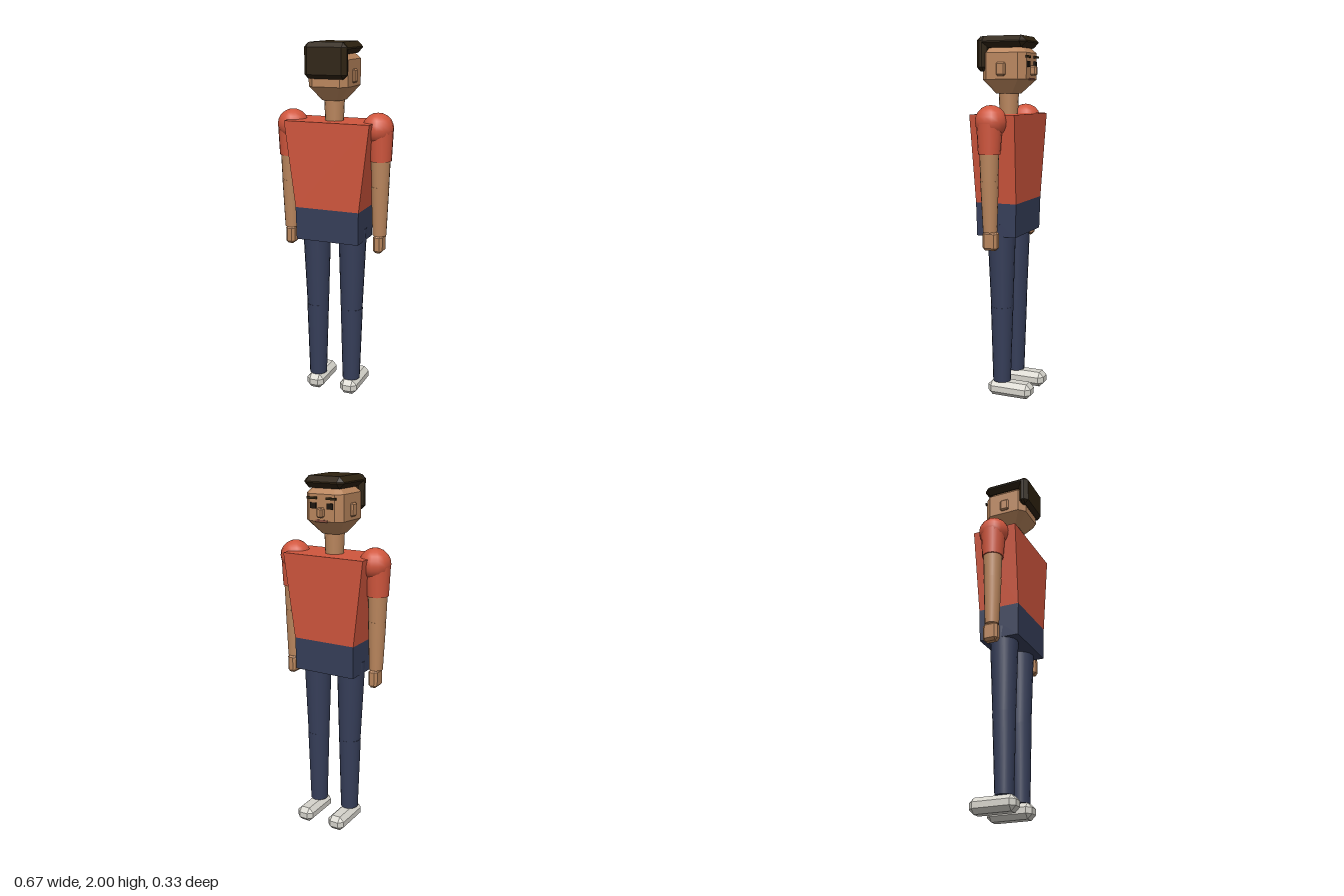
import * as THREE from 'three';
import { ConvexGeometry } from 'three/addons/geometries/ConvexGeometry.js';

const material = (name, color) => {
  const m = new THREE.MeshStandardMaterial({ color });
  m.name = name;
  return m;
};

// Box from min to max corner with every edge cut by c
function chamferBox(min, max, c) {
  const mid = min.map((v, i) => (v + max[i]) / 2);
  const half = min.map((v, i) => (max[i] - v) / 2);
  const points = [];
  for (let axis = 0; axis < 3; axis++)
    for (const sx of [-1, 1]) for (const sy of [-1, 1]) for (const sz of [-1, 1]) {
      const s = [sx, sy, sz];
      const p = s.map((v, i) => mid[i] + v * (half[i] - (i === axis ? 0 : c)));
      points.push(new THREE.Vector3(...p));
    }
  return new ConvexGeometry(points);
}

// Convex solid from horizontal sections [y, halfWidth, zFront, zBack, cornerCut]
function stacked(sections) {
  const points = [];
  for (const [y, hx, z0, z1, c] of sections)
    for (const s of [-1, 1]) {
      points.push(new THREE.Vector3(s * hx, y, z0 + c), new THREE.Vector3(s * hx, y, z1 - c));
      if (c > 0) points.push(new THREE.Vector3(s * (hx - c), y, z0), new THREE.Vector3(s * (hx - c), y, z1));
    }
  return new ConvexGeometry(points);
}

// Tapered limb segment between two points
function limb(from, to, r0, r1) {
  const a = new THREE.Vector3(...from), b = new THREE.Vector3(...to);
  const dir = b.clone().sub(a);
  const g = new THREE.CylinderGeometry(r1, r0, dir.length(), 16);
  g.applyQuaternion(new THREE.Quaternion().setFromUnitVectors(new THREE.Vector3(0, 1, 0), dir.normalize()));
  const m = a.add(b).multiplyScalar(0.5);
  return g.translate(m.x, m.y, m.z);
}

export function createModel() {
  const model = new THREE.Group();
  model.name = 'standingMan';
  const shirt = material('shirtRed', 0xd0563d);
  const denim = material('denimBlue', 0x363e59);
  const skin = material('skin', 0xba865d);
  const hair = material('hairBrown', 0x2e2210);
  const shoe = material('shoeWhite', 0xd6d4cc);
  const dark = material('eyeDark', 0x1c150e);
  const lip = material('lip', 0x8a5040);

  const add = (name, geometry, mat) => {
    const mesh = new THREE.Mesh(geometry, mat);
    mesh.name = name;
    model.add(mesh);
  };

  // Body
  add('torso', stacked([[1.11, 0.185, -0.1, 0.135, 0], [1.585, 0.244, -0.114, 0.143, 0]]), shirt);
  add('hips', stacked([[0.927, 0.182, -0.095, 0.131, 0], [1.11, 0.185, -0.1, 0.135, 0]]), denim);
  add('neck', limb([0, 1.57, 0.019], [0, 1.74, 0.019], 0.05, 0.057), skin);

  // Head, facing -z
  add('head', stacked([
    [1.695, 0.055, -0.04, 0.078, 0.018],
    [1.77, 0.112, -0.114, 0.14, 0.035],
    [1.91, 0.112, -0.114, 0.14, 0.035],
    [1.945, 0.077, -0.08, 0.105, 0.02],
  ]), skin);
  add('nose', chamferBox([-0.017, 1.79, -0.145], [0.017, 1.842, -0.1], 0.008), skin);
  add('mouth', new THREE.BoxGeometry(0.07, 0.012, 0.009).translate(0, 1.772, -0.114), lip);
  add('hairTop', chamferBox([-0.119, 1.937, -0.118], [0.119, 2, 0.163], 0.028), hair);
  add('hairBack', chamferBox([-0.119, 1.812, 0.105], [0.119, 1.997, 0.165], 0.022), hair);

  for (const [side, s] of [['left', 1], ['right', -1]]) {
    const part = (name, geometry, mat) => add(side + name, geometry, mat);
    const box = (x0, x1, y0, y1, z0, z1, c) =>
      chamferBox([Math.min(s * x0, s * x1), y0, z0], [Math.max(s * x0, s * x1), y1, z1], c);

    // Face
    part('Ear', box(0.1, 0.124, 1.788, 1.86, -0.009, 0.045, 0.008), skin);
    part('Eye', new THREE.BoxGeometry(0.036, 0.03, 0.009).translate(s * 0.05, 1.85, -0.116), dark);
    part('Brow', new THREE.BoxGeometry(0.06, 0.012, 0.009).translate(s * 0.057, 1.889, -0.118), hair);

    // Arm
    part('Shoulder', new THREE.SphereGeometry(0.086, 14, 10).translate(s * 0.248, 1.55, 0.016), shirt);
    part('Sleeve', limb([s * 0.267, 1.38, 0.018], [s * 0.264, 1.54, 0.018], 0.059, 0.069), shirt);
    part('UpperArm', limb([s * 0.267, 1.23, 0.018], [s * 0.267, 1.42, 0.018], 0.047, 0.054), skin);
    part('Forearm', limb([s * 0.265, 0.967, 0.016], [s * 0.266, 1.24, 0.018], 0.038, 0.049), skin);
    part('Hand', box(0.237, 0.291, 0.868, 0.972, -0.03, 0.055, 0.014), skin);

    // Leg
    part('Thigh', limb([s * 0.104, 0.515, 0.016], [s * 0.108, 0.995, 0.017], 0.062, 0.08), denim);
    part('Shin', limb([s * 0.104, 0.085, 0.018], [s * 0.105, 0.52, 0.016], 0.05, 0.063), denim);
    part('Shoe', box(0.053, 0.155, 0, 0.085, -0.166, 0.092, 0.026), shoe);
  }
  return model;
}
